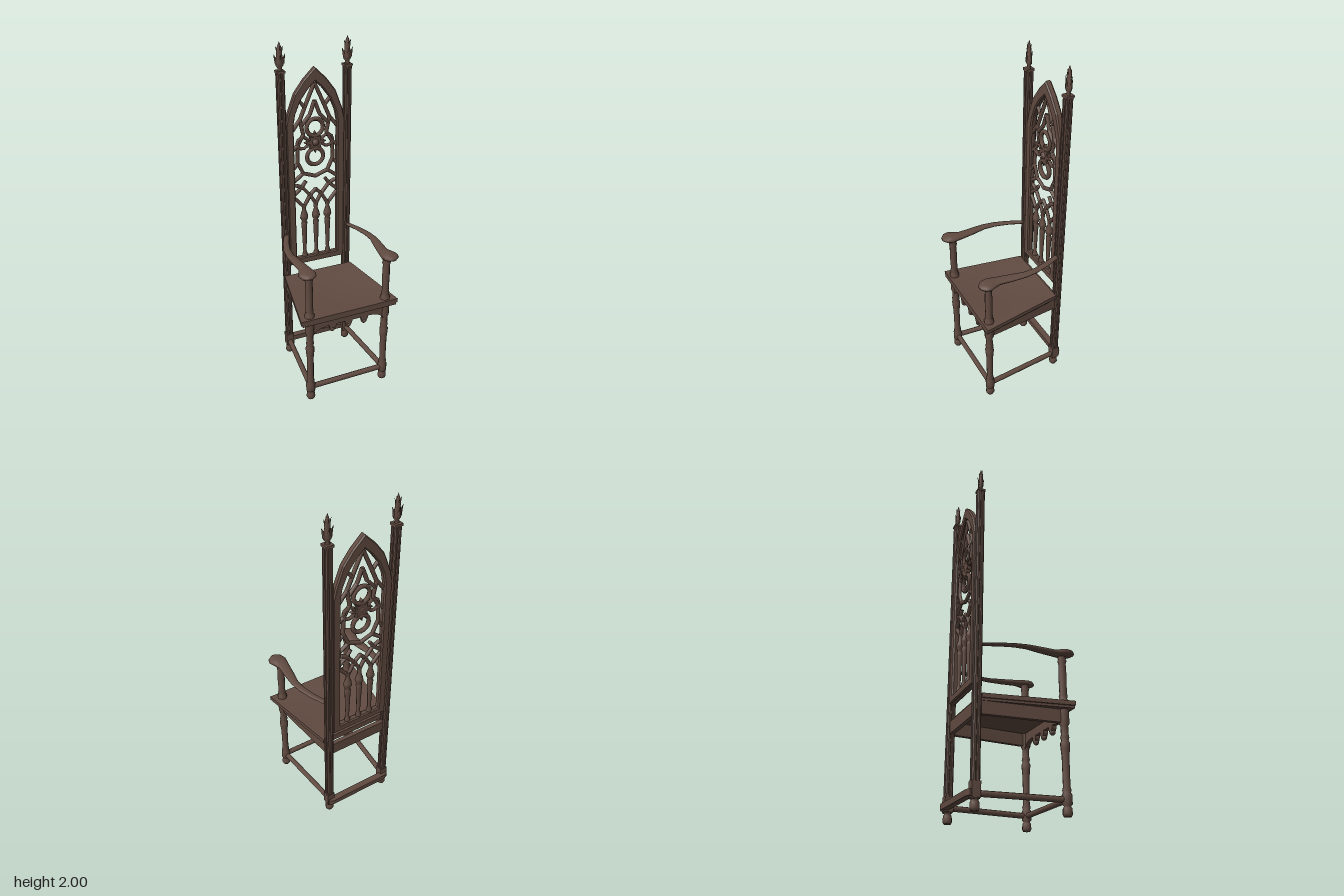
import * as THREE from 'three';

const wood = new THREE.MeshStandardMaterial({ color: 0x614b41 });
wood.name = 'darkWood';

export function createModel() {
  const chair = new THREE.Group();
  chair.name = 'gothicArmchair';

  const add = (name, geo, x = 0, y = 0, z = 0, parent = chair) => {
    const m = new THREE.Mesh(geo, wood);
    m.name = name;
    m.position.set(x, y, z);
    parent.add(m);
    return m;
  };
  // turned part from [radius, height] pairs
  const turned = (pts, sides = 10) =>
    new THREE.LatheGeometry(pts.map(([r, y]) => new THREE.Vector2(r, y)), sides);
  // straight rod between two points
  const rod = (name, a, b, r, sides = 6, parent = chair) => {
    const p = new THREE.Vector3(...a), q = new THREE.Vector3(...b), d = q.clone().sub(p);
    const m = add(name, new THREE.CylinderGeometry(r, r, d.length(), sides), 0, 0, 0, parent);
    m.position.copy(p).add(q).multiplyScalar(0.5);
    m.quaternion.setFromUnitVectors(new THREE.Vector3(0, 1, 0), d.normalize());
    return m;
  };
  const shape = (pts) => new THREE.Shape(pts.map(([x, y]) => new THREE.Vector2(x, y)));

  // ---- seat: tapered board with a dished top and a moulding beneath
  const taper = (geo, wFront, wBack, dish) => {
    const p = geo.attributes.position;
    for (let i = 0; i < p.count; i++) {
      const x = p.getX(i), y = p.getY(i), z = p.getZ(i);
      if (y > 0) p.setY(i, y - dish * Math.cos(x * Math.PI) * Math.cos(z * Math.PI));
      p.setX(i, x * 2 * THREE.MathUtils.lerp(wBack, wFront, z + 0.5));
      p.setZ(i, z * 0.49 + 0.02);
    }
    geo.computeVertexNormals();
    return geo;
  };
  add('seat', taper(new THREE.BoxGeometry(1, 0.024, 1, 12, 1, 12), 0.3, 0.22, 0.018), 0, 0.573, 0);
  add('seatMoulding', taper(new THREE.BoxGeometry(1, 0.014, 1), 0.29, 0.212, 0), 0, 0.555, 0);

  // ---- aprons
  const apron = new THREE.Shape();
  apron.moveTo(-0.22, 0.55);
  apron.lineTo(-0.22, 0.455);
  apron.quadraticCurveTo(-0.2, 0.5, -0.11, 0.5);
  [-0.1, 0, 0.1].forEach((x) => {
    apron.lineTo(x - 0.022, 0.5);
    apron.quadraticCurveTo(x - 0.022, 0.47, x, 0.465);
    apron.quadraticCurveTo(x + 0.022, 0.47, x + 0.022, 0.5);
  });
  apron.quadraticCurveTo(0.2, 0.5, 0.22, 0.455);
  apron.lineTo(0.22, 0.55);
  add('frontApron', new THREE.ExtrudeGeometry(apron, { depth: 0.026, bevelEnabled: false }), 0, 0, 0.215);
  [-0.1, 0, 0.1].forEach((x) => {
    add('apronPendant', new THREE.SphereGeometry(0.018, 8, 6), x, 0.468, 0.228);
  });
  add('backApron', new THREE.BoxGeometry(0.36, 0.07, 0.025), 0, 0.513, -0.244);

  // ---- one side at a time
  const legProfile = [
    [0, 0], [0.02, 0], [0.026, 0.012], [0.024, 0.04], [0.017, 0.052], [0.027, 0.06], [0.027, 0.108],
    [0.02, 0.118], [0.024, 0.13], [0.019, 0.145], [0.02, 0.3], [0.024, 0.34], [0.026, 0.37],
    [0.019, 0.385], [0.024, 0.4], [0.02, 0.415], [0.02, 0.46], [0.027, 0.475], [0.027, 0.55]];
  const armPostProfile = [
    [0.028, 0.58], [0.028, 0.6], [0.02, 0.612], [0.024, 0.625], [0.02, 0.64], [0.022, 0.74],
    [0.02, 0.81], [0.025, 0.825], [0.021, 0.838], [0.027, 0.86]];
  // clustered post outline: square with a groove in each face
  const postOutline = [];
  for (let k = 0; k < 4; k++) {
    const a = k * Math.PI / 2, c = Math.cos(a), s = Math.sin(a);
    [[0.021, -0.015], [0.021, -0.006], [0.016, -0.002], [0.016, 0.002], [0.021, 0.006], [0.021, 0.015]]
      .forEach(([u, v]) => postOutline.push([u * c - v * s, u * s + v * c]));
  }
  // arm stations: z, inner x, outer x, bottom y, top y
  const armStations = [
    [-0.235, 0.18, 0.212, 0.854, 0.866], [-0.2, 0.19, 0.227, 0.854, 0.867], [-0.14, 0.213, 0.252, 0.854, 0.869],
    [-0.06, 0.234, 0.275, 0.853, 0.871], [0.01, 0.238, 0.283, 0.852, 0.874], [0.09, 0.222, 0.28, 0.85, 0.877],
    [0.17, 0.208, 0.274, 0.85, 0.88], [0.2, 0.202, 0.285, 0.849, 0.884], [0.235, 0.197, 0.3, 0.847, 0.887],
    [0.265, 0.206, 0.293, 0.85, 0.885], [0.286, 0.232, 0.268, 0.859, 0.876]];
  const armGeometry = (s) => {
    const n = 10, pos = [], idx = [];
    armStations.forEach(([z, xi, xo, y0, y1]) => {
      for (let j = 0; j < n; j++) {
        const a = j / n * Math.PI * 2;
        pos.push(s * ((xi + xo) / 2 + Math.cos(a) * (xo - xi) / 2), (y0 + y1) / 2 + Math.sin(a) * (y1 - y0) / 2, z);
      }
    });
    const tri = (a, b, c) => (s > 0 ? idx.push(a, b, c) : idx.push(a, c, b));
    const last = (armStations.length - 1) * n;
    for (let i = 0; i < last; i += n) {
      for (let j = 0; j < n; j++) {
        const k = (j + 1) % n;
        tri(i + j, i + k, i + n + k);
        tri(i + j, i + n + k, i + n + j);
      }
    }
    for (let j = 1; j < n - 1; j++) {
      tri(0, j + 1, j);
      tri(last, last + j, last + j + 1);
    }
    const g = new THREE.BufferGeometry();
    g.setAttribute('position', new THREE.Float32BufferAttribute(pos, 3));
    g.setIndex(idx);
    g.computeVertexNormals();
    return g;
  };

  [1, -1].forEach((s) => {
    const side = s > 0 ? 'left' : 'right';
    const px = s * 0.196, pz = -0.246;
    add(side + 'FrontLeg', turned(legProfile), s * 0.236, 0, 0.227);
    add(side + 'ArmPost', turned(armPostProfile), s * 0.236, 0, 0.227);
    add(side + 'Arm', armGeometry(s));

    // rear post with foot, block and capital
    const post = new THREE.ExtrudeGeometry(shape(postOutline), { depth: 1.79, bevelEnabled: false });
    post.rotateX(-Math.PI / 2);
    add(side + 'RearPost', post, px, 0.055, pz);
    add(side + 'RearFoot', turned(legProfile.slice(0, 6), 8), px, 0, pz);
    add(side + 'RearBlock', new THREE.BoxGeometry(0.048, 0.08, 0.046), px, 0.1, pz);
    add(side + 'PostCap', new THREE.BoxGeometry(0.046, 0.014, 0.046), px, 1.84, pz);

    // leafy finial
    const finial = new THREE.Group();
    finial.name = side + 'Finial';
    finial.position.set(px, 1.845, pz);
    finial.scale.z = 0.6;
    chair.add(finial);
    add('finialBud', turned([[0.016, 0], [0.012, 0.015], [0.023, 0.03], [0.024, 0.055], [0.016, 0.085],
      [0.018, 0.105], [0.01, 0.13], [0, 0.155]], 8), 0, 0, 0, finial);
    for (let k = 0; k < 8; k++) {
      const a = (k % 4) * Math.PI / 2, up = k > 3;
      const r = up ? 0.014 : 0.024;
      const leaf = add('finialLeaf', new THREE.ConeGeometry(up ? 0.009 : 0.013, up ? 0.045 : 0.055, 5),
        Math.cos(a) * r, up ? 0.112 : 0.066, Math.sin(a) * r, finial);
      leaf.rotation.set(Math.sin(a) * 0.35, 0, -Math.cos(a) * 0.35);
    }

    // side apron and stretcher, splayed toward the front
    const dx = 0.04, dz = 0.473, len = Math.hypot(dx, dz);
    const rail = add(side + 'Apron', new THREE.BoxGeometry(0.024, 0.072, len), s * 0.216, 0.513, -0.01);
    rail.rotation.y = s * Math.atan2(dx, dz);
    rod(side + 'Stretcher', [px, 0.083, pz], [s * 0.236, 0.083, 0.227], 0.016, 8);
  });
  rod('frontStretcher', [-0.236, 0.083, 0.227], [0.236, 0.083, 0.227], 0.016, 8);
  add('rearStretcher', new THREE.ExtrudeGeometry(
    shape([[-0.215, -0.25], [0.215, -0.25], [0.215, -0.278], [0.19, -0.289], [-0.19, -0.289], [-0.215, -0.278]]),
    { depth: 0.032, bevelEnabled: false }).rotateX(Math.PI / 2).scale(1, 1, 1), 0, 0.1, 0);

  // ---- back panel: pointed-arch frame
  const back = new THREE.Group();
  back.name = 'backPanel';
  back.position.z = -0.248;
  chair.add(back);
  const arch = (w, y0, spring, apex) => [[-w, y0], [w, y0], [w, spring], [w * 0.92, spring + 0.06],
    [w * 0.68, spring + (apex - spring) * 0.56], [w * 0.36, spring + (apex - spring) * 0.8], [0, apex],
    [-w * 0.36, spring + (apex - spring) * 0.8], [-w * 0.68, spring + (apex - spring) * 0.56],
    [-w * 0.92, spring + 0.06], [-w, spring]];
  const frame = shape(arch(0.171, 0.65, 1.54, 1.84));
  frame.holes.push(shape(arch(0.137, 0.682, 1.535, 1.78)));
  add('archFrame', new THREE.ExtrudeGeometry(frame,
    { depth: 0.022, bevelThickness: 0.008, bevelSize: 0.006, bevelSegments: 1 }), 0, 0, -0.011, back);

  // ---- tracery: bars drawn as 2D paths, each mirrored
  const bars = [
    [[0, 1.76], [0.045, 1.66], [0.088, 1.56], [0.135, 1.5]],
    [[0.06, 1.63], [0.098, 1.675]],
    [[0, 1.66], [0.03, 1.58], [0.075, 1.53]],
    [[0.09, 1.56], [0.07, 1.47], [0.105, 1.41], [0.135, 1.385]],
    [[0.105, 1.41], [0.11, 1.31], [0.075, 1.235], [0, 1.208]],
    [[0.11, 1.3], [0.135, 1.27]], [[0.075, 1.235], [0.135, 1.19]],
    [[0.135, 1.105], [0.085, 1.15], [0.035, 1.09], [0, 1.125]],
    [[0.06, 1.185], [0.085, 1.15], [0.12, 1.165]],
    [[0.135, 1.09], [0.075, 1.02], [0.035, 1.09], [0, 1.03]],
  ];
  [1, -1].forEach((s) => bars.forEach((pts) => {
    for (let i = 1; i < pts.length; i++) {
      const [a, b] = [pts[i - 1], pts[i]];
      rod('traceryBar', [s * a[0], a[1], 0], [s * b[0], b[1], 0], 0.0115, 6, back);
      add('traceryJoint', new THREE.SphereGeometry(0.0115, 6, 4), s * b[0], b[1], 0, back);
    }
  }));

  // rose: two rings, lobes and a pointed flower
  [1.505, 1.33].forEach((y) => add('roseRing', new THREE.TorusGeometry(0.05, 0.013, 6, 16), 0, y, 0, back));
  [-0.075, 0.075].forEach((x) => add('roseLobe', new THREE.TorusGeometry(0.034, 0.01, 6, 10), x, 1.42, 0, back));
  const star = [];
  for (let k = 0; k < 16; k++) {
    const r = k % 2 ? 0.032 : k % 4 ? 0.05 : 0.066, a = k * Math.PI / 8;
    star.push([r * Math.cos(a), r * Math.sin(a)]);
  }
  add('flower', new THREE.ExtrudeGeometry(shape(star), { depth: 0.022, bevelEnabled: false }), 0, 1.418, -0.011, back);
  add('flowerBoss', new THREE.SphereGeometry(0.022, 8, 6), 0, 1.418, 0.006, back);

  // slender balusters
  const baluster = turned([[0.018, 0.68], [0.018, 0.7], [0.011, 0.72], [0.014, 0.8], [0.018, 0.9], [0.02, 0.915],
    [0.013, 0.925], [0.026, 0.95], [0.024, 0.965], [0.012, 1.0], [0.014, 1.02], [0.011, 1.04]], 8);
  [-0.075, 0, 0.075].forEach((x) => { add('baluster', baluster, x, 0, 0, back).scale.z = 0.85; });

  return chair;
}
